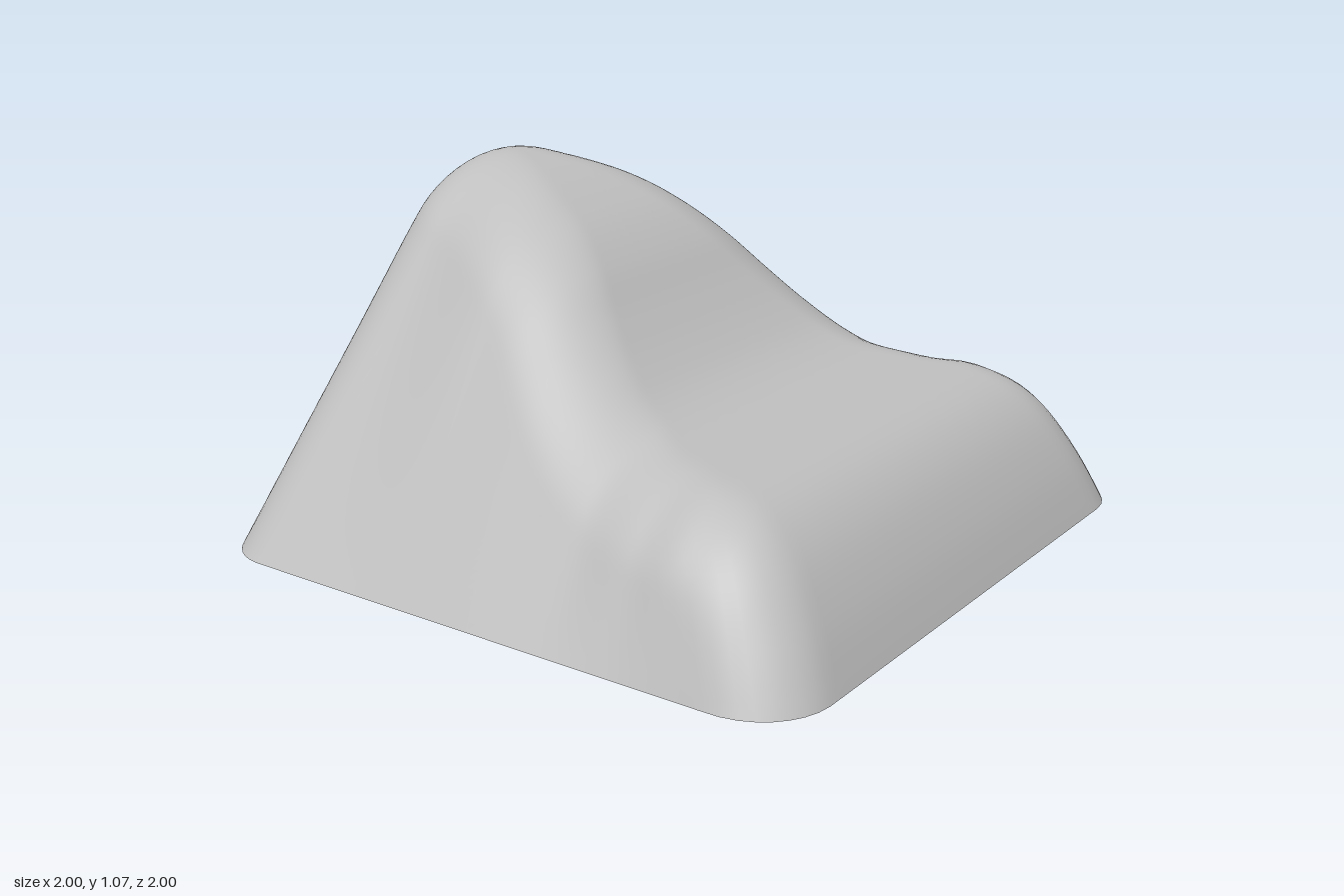
import * as THREE from 'three';

const ROUND = 0.2; // radius of the rounded edges between sides and profile

// Side profile (z, y), running from front foot over the hump and peak to the back foot
const profile = new THREE.CatmullRomCurve3([
  [1.08, -0.2], [1, 0], [0.92, 0.17], [0.82, 0.315], [0.72, 0.395], [0.6, 0.434], [0.5, 0.442], [0.4, 0.452],
  [0.3, 0.48], [0.2, 0.53], [0.1, 0.61], [0, 0.71], [-0.1, 0.82], [-0.2, 0.905], [-0.3, 0.965], [-0.42, 1.02],
  [-0.54, 1.056], [-0.65, 1.073], [-0.73, 1.055], [-0.79, 1.01], [-0.825, 0.955], [-0.84, 0.9],
  [-0.893, 0.6], [-0.947, 0.3], [-1, 0], [-1.035, -0.2],
].map(([z, y]) => new THREE.Vector3(z, y, 0))).getSpacedPoints(160);

// Steepness of the side walls along z
const steepness = [[-1, 1.42], [-0.65, 1.43], [-0.3, 1.6], [0, 1.62], [0.25, 1.64], [0.45, 2.1], [0.6, 2.7], [0.8, 3.1], [1, 3.2]];

function wallSlope(z) {
  for (let i = 1; i < steepness.length; i++) {
    const [z0, m0] = steepness[i - 1], [z1, m1] = steepness[i];
    if (z <= z1) return THREE.MathUtils.lerp(m0, m1, THREE.MathUtils.smoothstep(z, z0, z1));
  }
  return 3.2;
}

// Signed distance to the side profile, negative inside
function profileDistance(z, y) {
  let best = Infinity, height = -1;
  for (let i = 1; i < profile.length; i++) {
    const a = profile[i - 1], b = profile[i];
    const dz = b.x - a.x, dy = b.y - a.y;
    const t = Math.min(1, Math.max(0, ((z - a.x) * dz + (y - a.y) * dy) / (dz * dz + dy * dy)));
    best = Math.min(best, (z - a.x - t * dz) ** 2 + (y - a.y - t * dy) ** 2);
    if (z <= a.x && z >= b.x) height = a.y + dy * (z - a.x) / dz;
  }
  return Math.sqrt(best) * (y < height ? -1 : 1);
}

// Profile and sloping walls joined with a rounded edge, negative inside
function solid(x, y, z) {
  const m = wallSlope(z);
  const wall = (Math.abs(x) - 1 + y / m) * m / Math.hypot(1, m);
  const a = wall + ROUND, b = profileDistance(z, y) + ROUND;
  return (a > 0 && b > 0 ? Math.hypot(a, b) : Math.max(a, b)) - ROUND;
}

// Surface point reached by a ray from the middle of the floor
function surfacePoint(azimuth, elevation) {
  const cz = -0.3, c = Math.cos(elevation);
  const dx = Math.sin(azimuth) * c, dy = Math.sin(elevation), dz = Math.cos(azimuth) * c;
  let near = 0, far = 2;
  for (let k = 0; k < 24; k++) {
    const t = (near + far) / 2;
    if (solid(dx * t, dy * t, cz + dz * t) < 0) near = t; else far = t;
  }
  return [dx * near, dy * near, cz + dz * near];
}

function makeGeometry(points, index) {
  const g = new THREE.BufferGeometry();
  g.setAttribute('position', new THREE.Float32BufferAttribute(points.flat(), 3));
  g.setIndex(index);
  g.computeVertexNormals();
  return g;
}

export function createModel() {
  const grey = new THREE.MeshStandardMaterial({ color: 0xbfbfbf });
  grey.name = 'light grey';
  const around = 240, up = 64;
  const points = [], faces = [];

  // Smooth shell in rings from the foot to the crown
  for (let j = 0; j < up; j++) {
    for (let i = 0; i < around; i++) {
      points.push(surfacePoint(i / around * Math.PI * 2, j / up * Math.PI / 2));
      const a = j * around + i, b = j * around + (i + 1) % around;
      if (j < up - 1) faces.push(a, b, b + around, a, b + around, a + around);
      else faces.push(a, b, up * around);
    }
  }
  points.push(surfacePoint(0, Math.PI / 2));

  // Flat underside
  const rim = points.slice(0, around);
  const floorFaces = rim.flatMap((_, i) => [around, (i + 1) % around, i]);

  const shell = new THREE.Mesh(makeGeometry(points, faces), grey);
  shell.name = 'slopedBody';
  const underside = new THREE.Mesh(makeGeometry([...rim, [0, 0, -0.3]], floorFaces), grey);
  underside.name = 'underside';

  const model = new THREE.Group();
  model.name = 'roundedWedge';
  model.add(shell, underside);
  return model;
}
